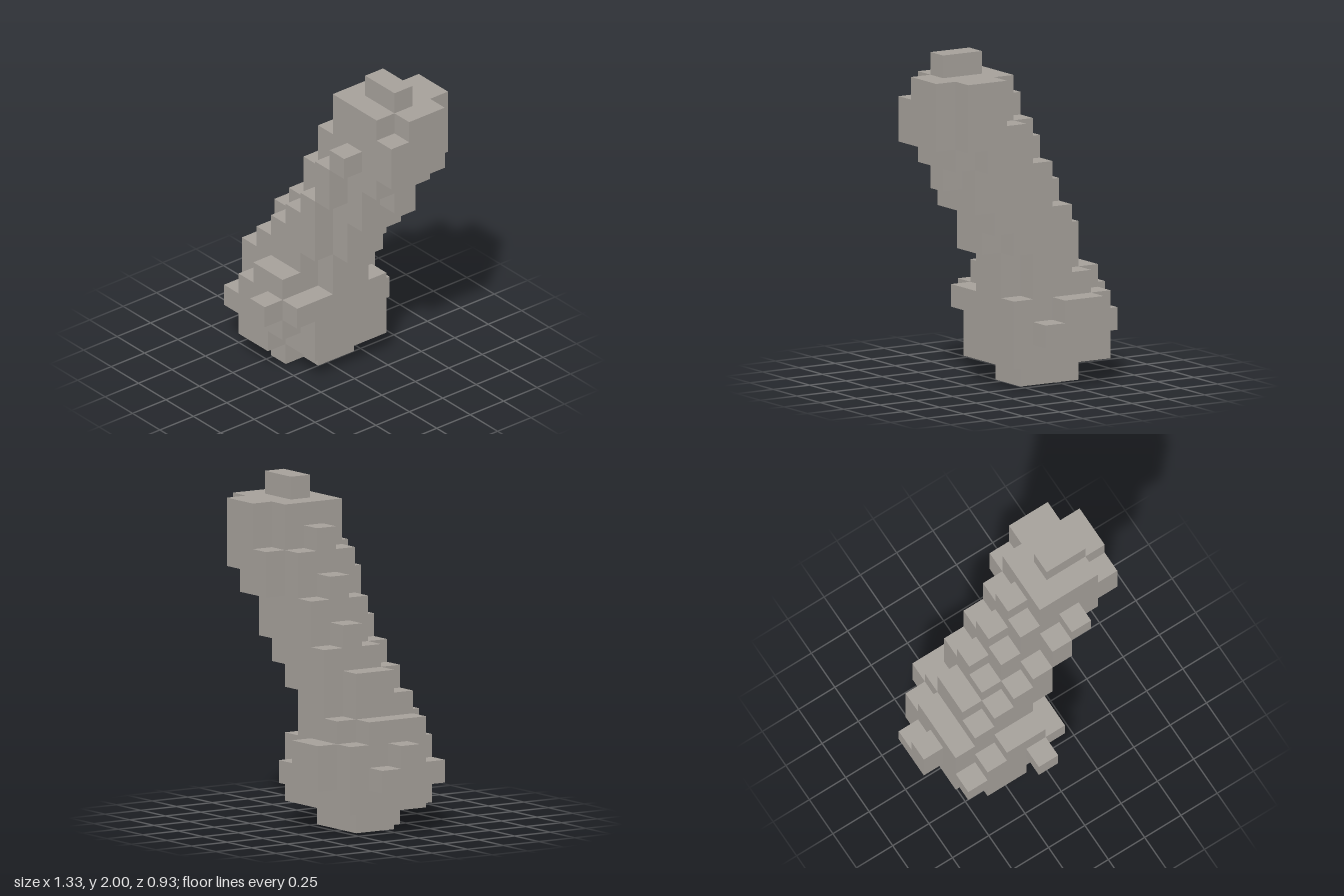
import * as THREE from 'three';

const U = 2 / 15; // edge of one cube

// Each block: [xMin, xMax, yMin, yMax, zMin, zMax] in cube units, z centred on cube 0
const PARTS = {
  lowerKnob: [
    [-3, 0, 0, 1, -1, 1], [-2, -1, 0, 1, 1, 2],    // foot
    [-4, 1, 1, 4, -2, 2],                          // core
    [-4, 0, 4, 5, -1, 2], [0, 1, 4, 5, -1, 1], [-3, 0, 4, 5, -2, -1], // crown
    [-3, 0, 2, 3, -3, -2], [-3, -1, 3, 4, -3, -2], // back swelling
    [-3, -1, 1, 2, 2, 3], [-4, 0, 2, 3, 2, 3],     // front swelling
    [-3, 1, 3, 4, 2, 3], [-2, 0, 4, 5, 2, 3],
    [-1, 0, 3, 4, 3, 4],                           // front tip
    [-5, -4, 2, 3, -1, 1], [-5, -4, 3, 4, 0, 1],   // side tip
  ],
  shaft: [
    [-3, 1, 5, 6, -1, 1], [-2, 2, 6, 8, -1, 1], [-1, 3, 8, 10, -2, 1], // stepped core
    [-2, 0, 5, 6, -2, -1], [-2, 1, 6, 7, -2, -1], [-2, 2, 7, 8, -2, -1], // back steps
    [-3, 0, 5, 6, 1, 2], [-2, 1, 6, 7, 1, 2], [-1, 1, 7, 8, 1, 2], [0, 1, 8, 9, 1, 2], // front ridge
    [1, 2, 9, 11, 1, 2], [2, 3, 11, 12, 1, 2],
    [-3, -2, 6, 7, -1, 1], [-2, -1, 8, 9, -1, 0],  // side bumps
    [3, 4, 9, 10, -1, 0],
  ],
  upperKnob: [
    [0, 4, 10, 11, -2, 1], [0, 5, 11, 12, -2, 1], [1, 5, 12, 13, -2, 1], // core
    [1, 4, 13, 14, -2, 1], [4, 5, 13, 14, -2, 0],
    [1, 3, 10, 11, -3, -2], [1, 4, 11, 12, -3, -2], [2, 4, 12, 14, -3, -2], // back swelling
    [-1, 0, 10, 11, -1, 0], [0, 1, 12, 13, -1, 0], // side bumps
    [2, 4, 14, 15, -1, 0],                         // cap
  ],
};

// Collects the cubes filled by a list of blocks
function fill(blocks) {
  const cells = new Map();
  for (const [x0, x1, y0, y1, z0, z1] of blocks)
    for (let x = x0; x < x1; x++)
      for (let y = y0; y < y1; y++)
        for (let z = z0; z < z1; z++) cells.set(`${x},${y},${z}`, [x, y, z]);
  return cells;
}

// Builds only the outer cube faces
function skin(cells, solid) {
  const position = [], normal = [], index = [];
  for (const cell of cells.values()) {
    for (let axis = 0; axis < 3; axis++) {
      for (const side of [1, -1]) {
        const n = [0, 0, 0];
        n[axis] = side;
        if (solid.has(cell.map((c, i) => c + n[i]).join())) continue;
        const start = position.length / 3;
        for (const [a, b] of [[-1, -1], [1, -1], [1, 1], [-1, 1]]) {
          const d = [0, 0, 0];
          d[axis] = side;
          d[(axis + 1) % 3] = a * side;
          d[(axis + 2) % 3] = b;
          position.push(
            (cell[0] + 0.5 + d[0] / 2) * U,
            (cell[1] + 0.5 + d[1] / 2) * U,
            (cell[2] + d[2] / 2) * U);
          normal.push(...n);
        }
        index.push(start, start + 1, start + 2, start, start + 2, start + 3);
      }
    }
  }
  const geometry = new THREE.BufferGeometry();
  geometry.setAttribute('position', new THREE.Float32BufferAttribute(position, 3));
  geometry.setAttribute('normal', new THREE.Float32BufferAttribute(normal, 3));
  geometry.setIndex(index);
  return geometry;
}

export function createModel() {
  const group = new THREE.Group();
  group.name = 'blockBone';
  const stone = new THREE.MeshStandardMaterial({ color: 0xa5a09a });
  stone.name = 'warm grey';
  const solid = fill(Object.values(PARTS).flat());
  for (const [name, blocks] of Object.entries(PARTS)) {
    const mesh = new THREE.Mesh(skin(fill(blocks), solid), stone);
    mesh.name = name;
    group.add(mesh);
  }
  return group;
}
